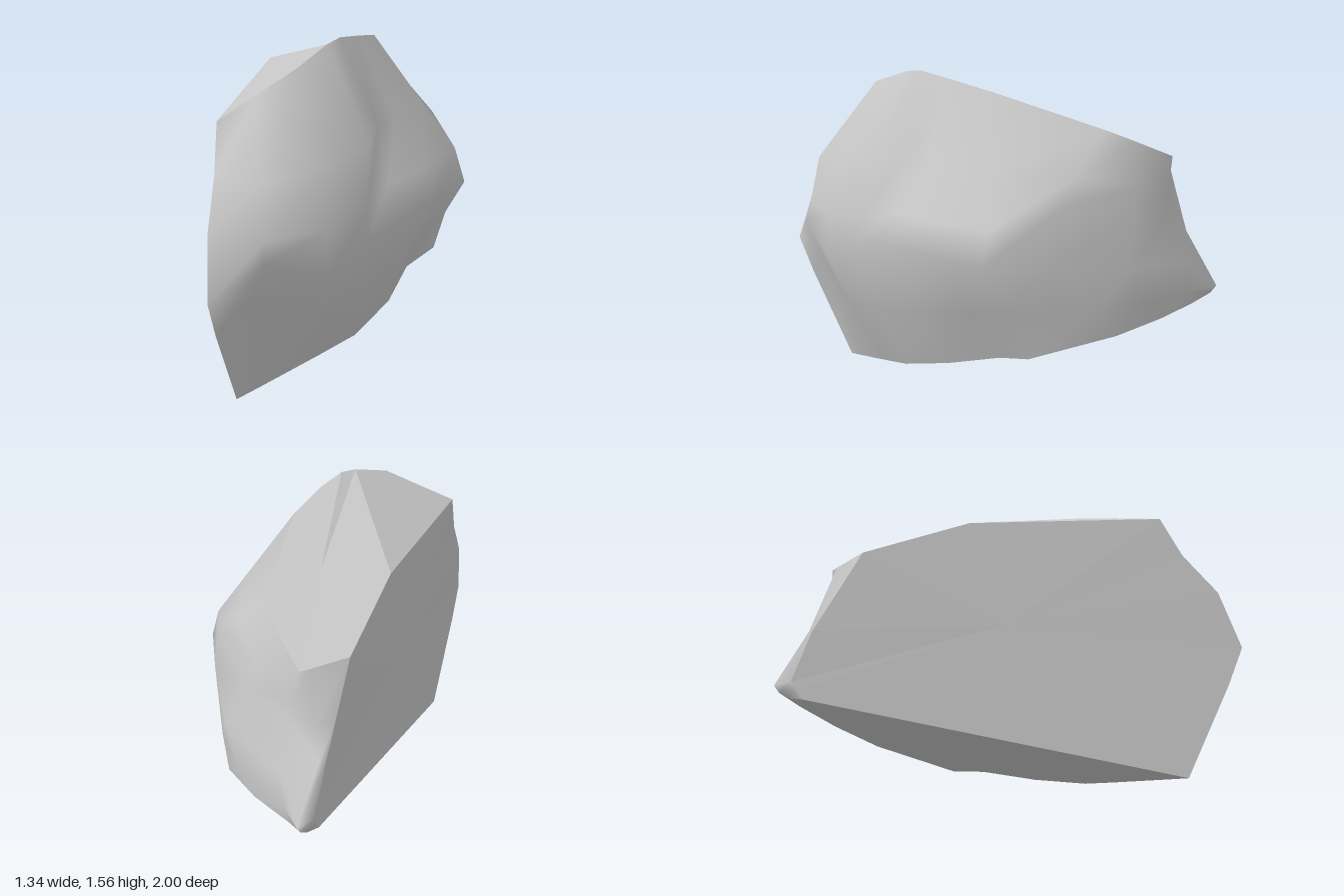
import * as THREE from 'three';

// Heights of the flat cuts: a tilted base, and a top made of two sloping planes
const baseY = (x, z) => 0.222 + 0.1515 * x - 0.1886 * z;
const topY = (x, z) => Math.min(1.469 + 0.58 * x + 0.241 * z, 1.403 + 0.133 * x + 0.372 * z);

// Outlines of the base and top in plan, from the left back edge round the front to the right back edge
const base = [
  [-0.53, 0.75], [-0.42, 0.71], [-0.13, 0.6], [0.07, 0.52], [0.28, 0.34], [0.43, 0.12],
  [0.6, 0.02], [0.57, -0.4], [0.44, -0.65], [0.28, -0.86], [0.2, -0.94], [0.145, -0.88],
].map(([x, z]) => [x, baseY(x, z), z]);

const top = [
  [-0.57, 0.67], [-0.4, 0.64], [-0.22, 0.61], [-0.06, 0.48], [0.01, 0.42], [0.11, 0.31],
  [0.24, 0.12], [0.36, -0.38], [0.32, -0.55], [0.22, -0.76], [0.18, -0.745], [0, -0.66],
].map(([x, z]) => [x, topY(x, z), z]);

// Undercut wall above the base
const wall = [
  [-0.635, 0.44, 0.935], [-0.45, 0.58, 0.89], [-0.13, 0.4, 0.77], [0.07, 0.43, 0.67],
  [0.28, 0.46, 0.5], [0.47, 0.5, 0.26], [0.63, 0.54, 0.1], [0.6, 0.52, -0.3],
  [0.52, 0.52, -0.54], [0.3, 0.5, -0.84], [0.225, 0.46, -0.975], [0.155, 0.46, -0.91],
];

// Jutting ledge round the middle, and the brow just above it
const ledge = [
  [-0.67, 0.62, 1], [-0.43, 0.76, 0.965], [-0.13, 0.65, 0.88], [0.06, 0.74, 0.78],
  [0.27, 0.79, 0.65], [0.47, 0.78, 0.45], [0.67, 0.76, 0.25], [0.64, 0.74, -0.05],
  [0.57, 0.7, -0.46], [0.31, 0.64, -0.8], [0.24, 0.5, -1], [0.165, 0.5, -0.935],
];

const brow = [
  [-0.65, 0.9, 0.91], [-0.42, 0.86, 0.94], [-0.15, 0.85, 0.87], [0.07, 0.88, 0.72],
  [0.2, 0.92, 0.58], [0.38, 0.93, 0.49], [0.63, 0.92, 0.2], [0.61, 1, -0.12],
  [0.47, 0.92, -0.5], [0.27, 0.88, -0.72], [0.14, 0.76, -0.87], [0.11, 0.75, -0.86],
];

// Shoulder between brow and top, notched at the left edge and swelling beside it
const nudges = [[0.02, 0.04, -0.05], [0, 0.02, 0.07], [0.04, 0, 0.03], [0.07, 0, 0.04], [0.04, 0, 0]];
const shoulder = brow.map((p, i) =>
  p.map((v, k) => THREE.MathUtils.lerp(v, top[i][k], 0.4) + (nudges[i]?.[k] ?? 0)));

const rows = [base, wall, ledge, brow, shoulder, top];

// Corner where the two top planes meet the back
const ridgeEnd = [-0.2, 1.31, -0.18];

// Smooth skin through rows stacked from bottom to top
function skin(rings) {
  const n = rings[0].length;
  const index = [];
  for (let r = 0; r < rings.length - 1; r++) {
    for (let c = 0; c < n - 1; c++) {
      const a = r * n + c;
      const d = a + n;
      index.push(a, a + 1, d + 1, a, d + 1, d);
    }
  }
  const g = new THREE.BufferGeometry();
  g.setAttribute('position', new THREE.Float32BufferAttribute(rings.flat(2), 3));
  g.setIndex(index);
  g.computeVertexNormals();
  return g;
}

// Flat cut face: a fan around the middle of a counter-clockwise loop
function cut(loop) {
  const mid = [0, 1, 2].map((k) => loop.reduce((s, p) => s + p[k], 0) / loop.length);
  const tris = loop.map((p, i) => [mid, p, loop[(i + 1) % loop.length]]);
  const g = new THREE.BufferGeometry();
  g.setAttribute('position', new THREE.Float32BufferAttribute(tris.flat(2), 3));
  g.computeVertexNormals();
  return g;
}

export function createModel() {
  const stone = new THREE.MeshStandardMaterial({ color: 0xc8c8c8 });
  stone.name = 'grey stone';
  const group = new THREE.Group();
  group.name = 'rock';
  const add = (name, geometry) => {
    const mesh = new THREE.Mesh(geometry, stone);
    mesh.name = name;
    group.add(mesh);
  };

  const leftEdge = rows.map((row) => row[0]);
  const rightEdge = rows.map((row) => row[row.length - 1]);

  add('roughFace', skin(rows));
  add('topFacetLeft', cut([...top.slice(0, 4), ridgeEnd]));
  add('topFacetRight', cut([...top.slice(3), ridgeEnd]));
  add('bottomCut', cut([...base].reverse()));
  add('backCut', cut([...leftEdge, ridgeEnd, ...rightEdge.reverse()]));
  return group;
}
